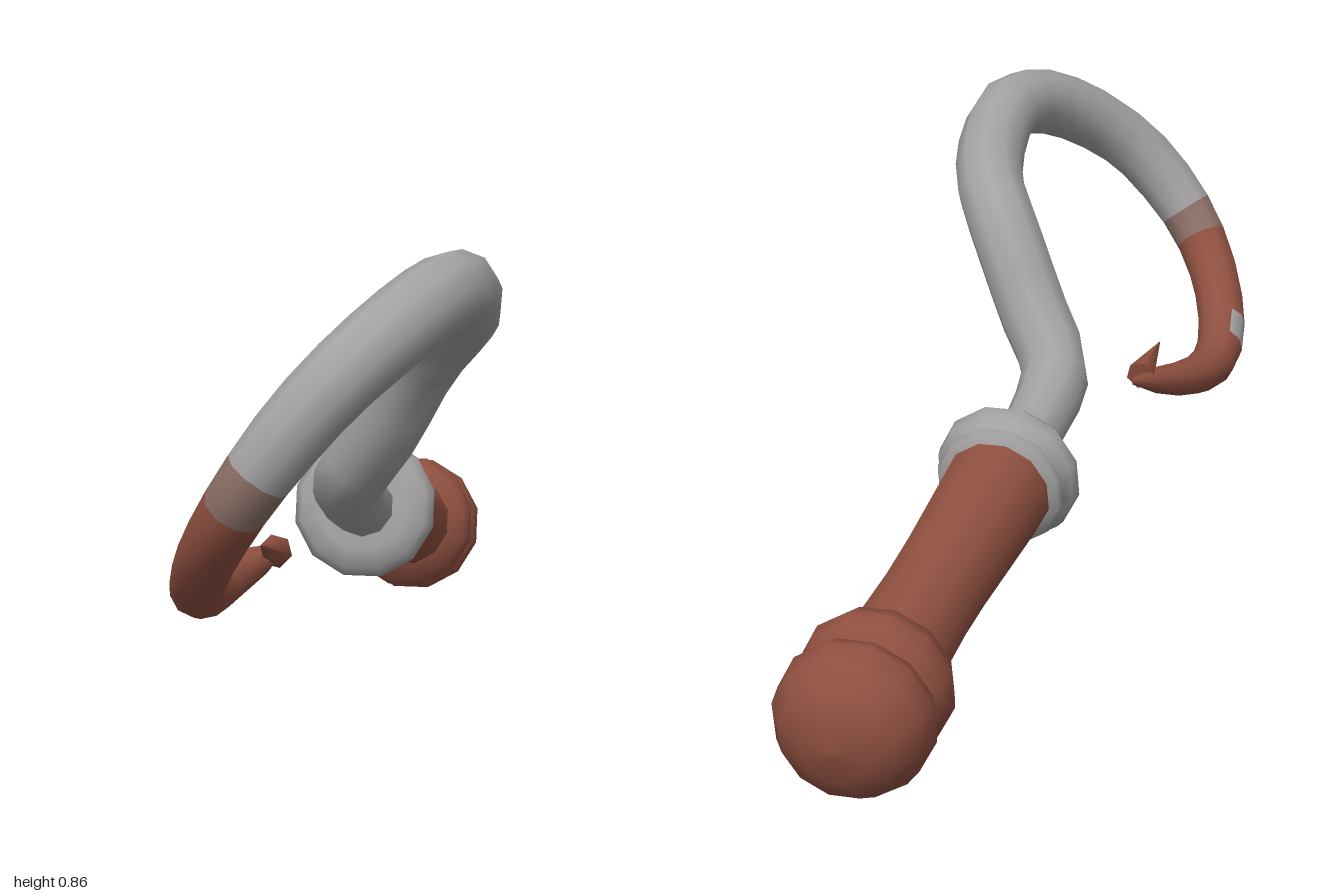
import * as THREE from 'three';

const material = (name, color) => {
  const m = new THREE.MeshStandardMaterial({ color });
  m.name = name;
  return m;
};

// Hook centre line: x, y, z, radius
const PATH = [
  [0.04, 0.31, -0.1, 0.06], [0.015, 0.335, 0, 0.058], [-0.015, 0.37, 0.1, 0.063],
  [-0.025, 0.41, 0.19, 0.066], [0.02, 0.5, 0.265, 0.068], [0.075, 0.63, 0.345, 0.068],
  [0.11, 0.7, 0.44, 0.067], [0.115, 0.75, 0.56, 0.067], [0.085, 0.8, 0.7, 0.066],
  [0.02, 0.79, 0.81, 0.066], [-0.07, 0.74, 0.895, 0.065], [-0.16, 0.67, 0.94, 0.062],
  [-0.225, 0.6, 0.945, 0.06], [-0.29, 0.51, 0.925, 0.055], [-0.33, 0.43, 0.87, 0.052],
  [-0.35, 0.36, 0.785, 0.049], [-0.35, 0.31, 0.7, 0.047], [-0.325, 0.285, 0.6, 0.044],
  [-0.27, 0.293, 0.5, 0.036], [-0.21, 0.31, 0.43, 0.025], [-0.17, 0.32, 0.39, 0.006],
];

// Tapered tube whose quads are painted by their place along the path
function hookGeometry() {
  const SEGMENTS = 32, SIDES = 10, last = PATH.length - 1;
  const curve = new THREE.CatmullRomCurve3(PATH.map(([x, y, z]) => new THREE.Vector3(x, y, z)));
  const geometry = new THREE.TubeGeometry(curve, SEGMENTS, 1, SIDES, false);
  const pos = geometry.attributes.position;
  const along = (u) => curve.getUtoTmapping(u) * last;
  const v = new THREE.Vector3();
  for (let i = 0; i <= SEGMENTS; i++) {
    const centre = curve.getPointAt(i / SEGMENTS);
    const s = along(i / SEGMENTS), k = Math.min(Math.floor(s), last - 1);
    const r = THREE.MathUtils.lerp(PATH[k][3], PATH[k + 1][3], s - k);
    for (let j = 0; j <= SIDES; j++) {
      const n = i * (SIDES + 1) + j;
      v.fromBufferAttribute(pos, n).sub(centre).multiplyScalar(r).add(centre);
      pos.setXYZ(n, v.x, v.y, v.z);
    }
  }
  const normal = geometry.attributes.normal;
  for (let i = 0; i < SEGMENTS; i++) {
    const s = along((i + 0.5) / SEGMENTS);
    for (let j = 0; j < SIDES; j++) {
      const n = i * (SIDES + 1) + j;
      const worn = s > 15.3 && s < 16.3 && normal.getX(n) < 0.1 && normal.getY(n) > 0;
      const paint = s < 12.6 || worn ? 0 : s < 13.5 || s > 19.5 ? 1 : 2;
      geometry.addGroup((i * SIDES + j) * 6, 6, paint);
    }
  }
  return geometry;
}

export function createModel() {
  const model = new THREE.Group();
  const steel = material('steel', 0xa3a1a1);
  const worn = material('wornRust', 0x8b7067);
  const rust = material('rustBrown', 0x8f5040);

  const add = (parent, name, geometry, mat) => {
    const mesh = new THREE.Mesh(geometry, mat);
    mesh.name = name;
    parent.add(mesh);
    return mesh;
  };
  const lathe = (pts, sides) =>
    new THREE.LatheGeometry(pts.map(([r, y]) => new THREE.Vector2(r, y)), sides);
  const up = new THREE.Vector3(0, 1, 0);

  add(model, 'hook', hookGeometry(), [steel, worn, rust]);

  // Barb pointing back from the tip
  const base = new THREE.Vector3(-0.188, 0.32, 0.425);
  const point = new THREE.Vector3(-0.226, 0.354, 0.555);
  const direction = point.clone().sub(base);
  const barb = add(model, 'barb', new THREE.ConeGeometry(0.03, direction.length(), 6), rust);
  barb.position.copy(base).add(point).multiplyScalar(0.5);
  barb.quaternion.setFromUnitVectors(up, direction.normalize());

  // Handle parts are turned about one sloping axis
  const grip = new THREE.Group();
  grip.name = 'handleAssembly';
  grip.position.set(0.04, 0.31, -0.1);
  grip.quaternion.setFromUnitVectors(up, new THREE.Vector3(0.266, -0.204, -0.942).normalize());
  model.add(grip);

  add(grip, 'collar', lathe([[0, -0.012], [0.085, -0.012], [0.122, 0.002], [0.137, 0.026],
    [0.132, 0.05], [0.112, 0.06], [0.122, 0.08], [0.117, 0.095], [0.09, 0.105]], 12), steel);
  add(grip, 'handle', lathe([[0.102, 0.07], [0.101, 0.12], [0.09, 0.38], [0.088, 0.5],
    [0.093, 0.72]], 12), rust);
  add(grip, 'pommelRing', lathe([[0.085, 0.675], [0.125, 0.695], [0.138, 0.73], [0.134, 0.765],
    [0.112, 0.795], [0.09, 0.805]], 12), rust);
  add(grip, 'pommel', lathe([[0.1, 0.785], [0.13, 0.8], [0.141, 0.83], [0.134, 0.875],
    [0.105, 0.92], [0.06, 0.944], [0, 0.952]], 12), rust);

  return model;
}
